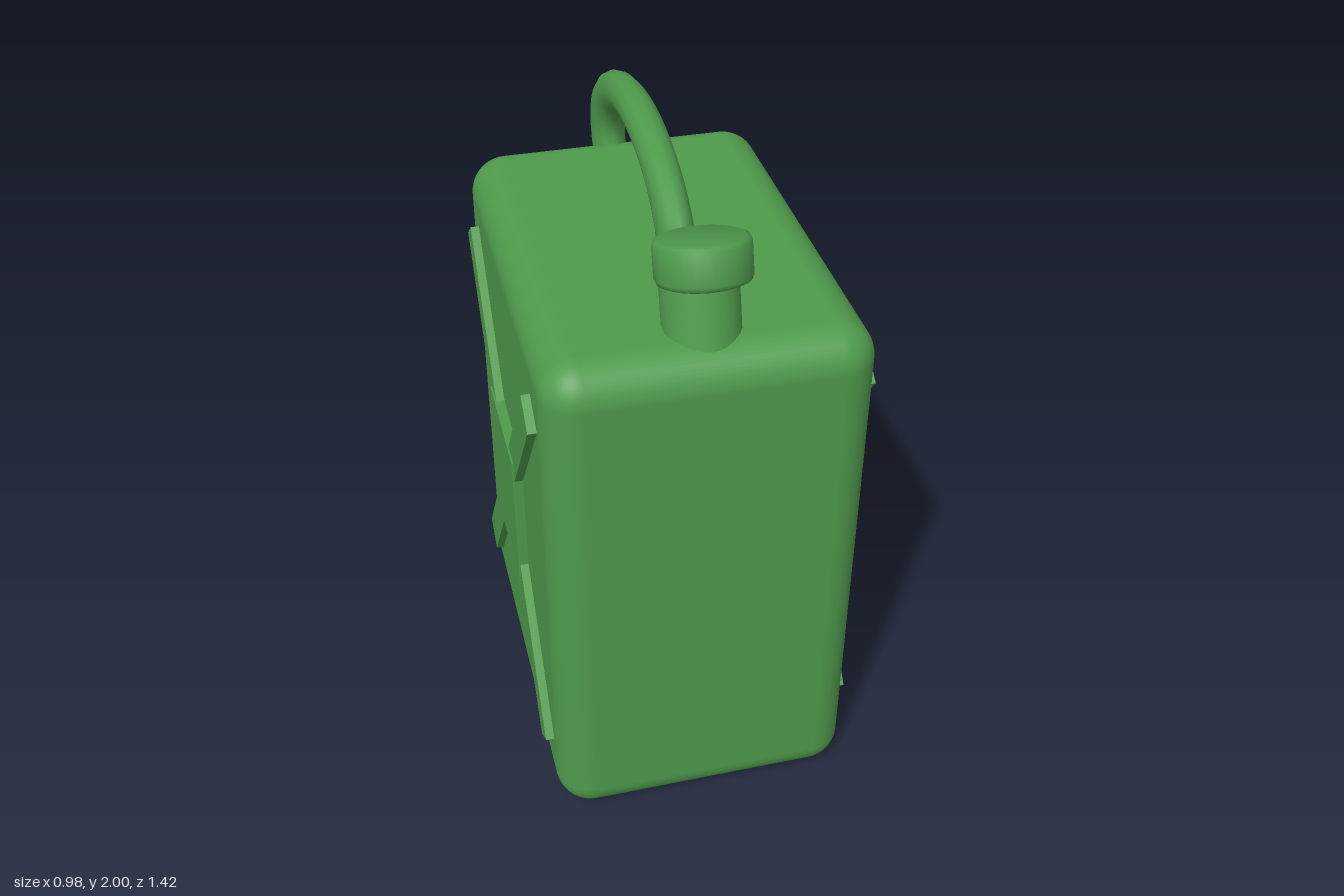
import * as THREE from 'three';
import { toCreasedNormals } from 'three/addons/utils/BufferGeometryUtils.js';
import { RoundedBoxGeometry } from 'three/addons/geometries/RoundedBoxGeometry.js';

const BODY_Z = 0.055; // body centre, slightly forward because the handle overhangs the back
const RIB_Y = 0.845;
const RIB_TILT = THREE.MathUtils.degToRad(38);
const SPOUT_TILT = THREE.MathUtils.degToRad(-17);

export function createModel() {
  const model = new THREE.Group();
  const green = new THREE.MeshStandardMaterial({ color: 0x4f9a4c });

  const add = (name, geometry, x, y, z, tilt = 0) => {
    const mesh = new THREE.Mesh(geometry, green);
    mesh.name = name;
    mesh.position.set(x, y, z);
    mesh.rotation.x = tilt;
    model.add(mesh);
    return mesh;
  };

  // Rounded can body
  add('body', new RoundedBoxGeometry(0.92, 1.68, 1.31, 6, 0.11), 0, 0.84, BODY_Z);

  // Crossed ribs and raised centre panel on both sides
  for (const side of [1, -1]) {
    const name = side > 0 ? 'left' : 'right';
    for (const dir of [1, -1]) {
      add(name + 'Rib', new THREE.BoxGeometry(0.085, 1.607, 0.11), side * 0.443, RIB_Y, BODY_Z, dir * RIB_TILT);
    }
    add(name + 'Panel', new THREE.BoxGeometry(0.09, 0.47, 0.4), side * 0.446, RIB_Y, BODY_Z);
  }

  // Flattened hoop handle, both ends sunk into the body
  const hoop = new THREE.TorusGeometry(0.4475, 0.0975, 12, 60, Math.PI * 5 / 3);
  hoop.rotateZ(-Math.PI / 3).rotateY(Math.PI / 2).scale(0.54, 0.54, 1);
  add('handle', hoop, 0, 1.706, -0.165);

  // Spout leaning back, with its foot buried in the body
  const neck = new THREE.CylinderGeometry(0.107, 0.107, 0.3, 32);
  neck.translate(0, -0.15, 0);
  add('spout', neck, 0, 1.856, 0.482, SPOUT_TILT);

  // Screw cap with bevelled rims
  const profile = [[0, -0.06], [0.113, -0.06], [0.125, -0.055], [0.13, -0.043],
    [0.13, 0.043], [0.125, 0.055], [0.113, 0.06], [0, 0.06]]
    .map(([r, y]) => new THREE.Vector2(r, y));
  add('cap', toCreasedNormals(new THREE.LatheGeometry(profile, 32), 0.9), 0, 1.88, 0.535, SPOUT_TILT);

  return model;
}
